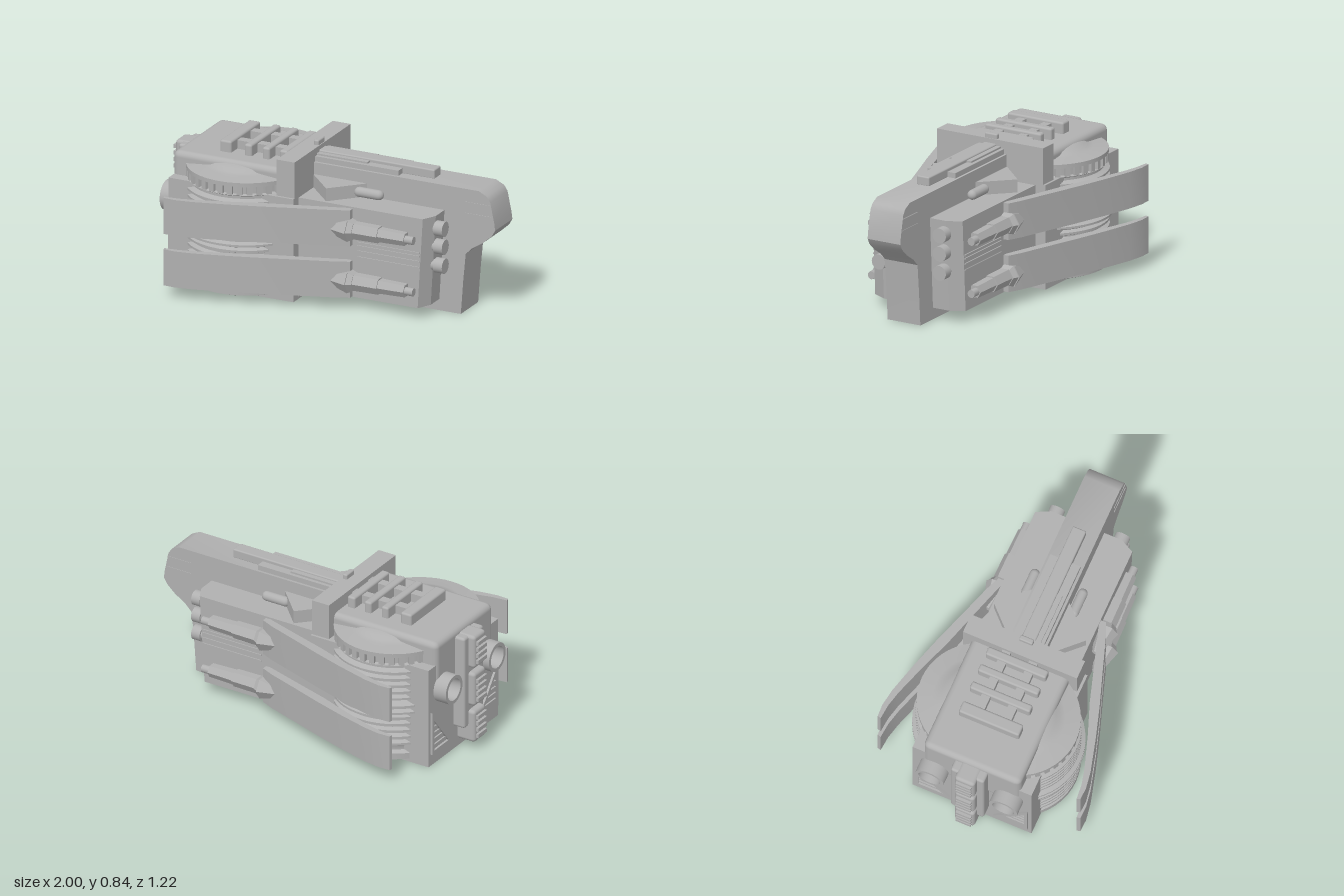
import * as THREE from 'three';
import { RoundedBoxGeometry } from 'three/addons/geometries/RoundedBoxGeometry.js';
import { toCreasedNormals } from 'three/addons/utils/BufferGeometryUtils.js';

export function createModel() {
  const root = new THREE.Group();
  root.name = 'spacecraft';
  const hull = new THREE.MeshStandardMaterial({ color: 0xb0b0b0 });
  hull.name = 'hull grey';

  const add = (name, geo) => {
    const m = new THREE.Mesh(geo, hull);
    m.name = name;
    root.add(m);
    return m;
  };
  // box from its limits, optionally rounded
  const box = (name, x0, x1, y0, y1, z0, z1, r = 0) => {
    const d = [x1 - x0, y1 - y0, Math.abs(z1 - z0)];
    const m = add(name, r ? new RoundedBoxGeometry(...d, 2, r) : new THREE.BoxGeometry(...d));
    m.position.set((x0 + x1) / 2, (y0 + y1) / 2, (z0 + z1) / 2);
    return m;
  };
  const shapeOf = pts => new THREE.Shape(pts.map(p => new THREE.Vector2(...p)));
  // side profile (x, y) extruded across z
  const profile = (name, pts, z0, z1) => {
    const g = new THREE.ExtrudeGeometry(shapeOf(pts), { depth: z1 - z0, bevelEnabled: false });
    return add(name, toCreasedNormals(g.translate(0, 0, z0), 0.6));
  };
  // plan (x, z) extruded up y
  const planGeo = (pts, y0, y1) => {
    const g = new THREE.ExtrudeGeometry(shapeOf(pts), { depth: y1 - y0, bevelEnabled: false });
    return g.rotateX(Math.PI / 2).translate(0, y1, 0);
  };
  // cylinder lying along x, r0 at the rear and r1 at the front
  const rod = (name, x0, x1, r0, r1, y, z, sides = 24) => {
    const g = new THREE.CylinderGeometry(r0, r1, x1 - x0, sides).rotateZ(Math.PI / 2);
    const m = add(name, sides < 8 ? toCreasedNormals(g, 0.3) : g);
    m.position.set((x0 + x1) / 2, y, z);
    return m;
  };

  // central spine with hooked nose
  profile('spine', [[-0.86, 0], [0.79, 0], [0.805, 0.2], [0.82, 0.355], [0.86, 0.395], [0.93, 0.44],
    [0.98, 0.485], [1, 0.52], [0.995, 0.56], [0.97, 0.68], [0.95, 0.71], [0.9, 0.735], [-0.2, 0.735]], -0.105, 0.105);
  for (const s of [-1, 1]) for (const y of [0.59, 0.655])
    box('noseSeam', 0.82, 0.975, y, y + 0.006, s * 0.105, s * 0.108);

  // spine top rails
  box('topRail', -0.12, 0.595, 0.73, 0.785, -0.04, 0.04, 0.008);
  box('topRailBase', -0.12, 0.4, 0.73, 0.765, -0.09, 0.09);
  box('topRailStep', -0.12, 0.2, 0.73, 0.775, -0.07, 0.07);

  // rear body
  box('rearBody', -0.875, -0.11, 0, 0.6, -0.355, 0.355);
  box('rearBodyTop', -0.885, -0.11, 0.4, 0.735, -0.29, 0.29, 0.035);
  profile('underRamp', [[-0.13, 0], [-0.12, 0], [-0.06, 0.068], [-0.13, 0.068]], -0.29, 0.29);
  box('crossBar', -0.22, -0.11, 0.58, 0.81, -0.34, 0.34);
  box('crossBarKnob', -0.145, -0.115, 0.8, 0.838, -0.04, 0.04, 0.008);

  // roof grille
  for (const [a, b] of [[-0.65, -0.58], [-0.5, -0.455], [-0.39, -0.345], [-0.285, -0.235]])
    box('roofRib', a, b, 0.72, 0.8, -0.18, 0.18, 0.012);
  for (const z of [-0.08, 0.08]) box('roofRibLink', -0.6, -0.2, 0.72, 0.785, z - 0.025, z + 0.025);

  // stern plate with stacked vents
  box('sternPlate', -0.945, -0.86, 0.14, 0.7, -0.1, 0.1, 0.015);
  for (const [a, b] of [[0.045, 0.24], [0.27, 0.475], [0.505, 0.705]]) {
    box('sternVent', -0.985, -0.86, a, b, -0.06, 0.06, 0.02);
    for (let i = 0; i < 4; i++)
      box('ventRib', -1, -0.97, a + 0.03 + i * 0.038, a + 0.052 + i * 0.038, -0.045, 0.045);
  }

  // ribbed drum, used on both sides
  const drumPts = [[0, 0.01], [0.31, 0.01], [0.335, 0.02], [0.335, 0.055], [0.31, 0.068], [0.31, 0.09]];
  for (let y = 0.1; y < 0.56; y += 0.04) {
    const r = y > 0.27 && y < 0.36 ? 0.36 : 0.34;
    drumPts.push([r - 0.025, y], [r, y + 0.01], [r, y + 0.022], [r - 0.025, y + 0.032]);
  }
  drumPts.push([0.31, 0.575], [0.31, 0.59], [0.33, 0.6], [0.31, 0.605], [0.31, 0.648], [0.335, 0.652],
    [0.335, 0.675], [0.25, 0.685], [0.22, 0.69], [0.2, 0.705], [0.15, 0.72], [0, 0.722]);
  const drumGeo = toCreasedNormals(
    new THREE.LatheGeometry(drumPts.map(p => new THREE.Vector2(...p)), 48), 0.5);

  for (const s of [-1, 1]) {
    // drum and its toothed upper ring
    add('sideDrum', drumGeo).position.set(-0.51, 0, s * 0.125);
    for (let i = -6; i <= 6; i++) {
      const a = i * 0.17;
      const t = add('drumTooth', new THREE.BoxGeometry(0.03, 0.05, 0.025));
      t.position.set(-0.51 + Math.sin(a) * 0.318, 0.627, s * (0.125 + Math.cos(a) * 0.318));
      t.rotation.y = s * a;
    }

    // forward side block with raked front face
    const g = planGeo([[-0.15, 0.1], [0.69, 0.1], [0.69, 0.21], [0.65, 0.29], [-0.15, 0.29]]
      .map(([x, z]) => [x, s * z]), 0.066, 0.59);
    const p = g.attributes.position;
    for (let i = 0; i < p.count; i++)
      if (p.getX(i) > 0.5) p.setX(i, p.getX(i) - (0.59 - p.getY(i)) * 0.06);
    g.computeVertexNormals();
    add('sideBlock', g);
    for (const y of [0.3, 0.335, 0.365, 0.385])
      box('sideSeam', 0.25, 0.63, y, y + 0.008, s * 0.288, s * 0.296);
    for (const y of [0.3, 0.41, 0.515]) {
      rod('frontPort', 0.62, 0.7, 0.032, 0.032, y, s * 0.195);
      rod('frontPortCap', 0.685, 0.74, 0.043, 0.043, y, s * 0.195);
    }

    // wedge turret on the block, with its gun
    add('turretWedge', planGeo([[-0.12, s * 0.1], [0.22, s * 0.1], [0.05, s * 0.275]], 0.58, 0.665));
    const gun = add('turretGun', new THREE.CapsuleGeometry(0.028, 0.12, 6, 16).rotateZ(Math.PI / 2));
    gun.position.set(0.247, 0.625, s * 0.143);

    // swept arms and side cannons
    const outer = [[-0.78, 0.605], [-0.71, 0.608], [-0.61, 0.592], [-0.42, 0.54], [-0.24, 0.484], [-0.03, 0.412], [0.14, 0.355], [0.22, 0.32]];
    const inner = [[0.22, 0.28], [0.16, 0.3], [-0.03, 0.36], [-0.24, 0.425], [-0.42, 0.492], [-0.61, 0.555], [-0.7, 0.577], [-0.785, 0.585]];
    const armPlan = [...outer, ...inner].map(([x, z]) => [x, s * z]);
    for (const y of [0.07, 0.37]) {
      add('sweptArm', toCreasedNormals(planGeo(armPlan, y, y + 0.21), 0.6));
      const c = y + 0.097;
      rod('cannonWedge', 0.07, 0.22, 0.022, 0.068, c, s * 0.325, 6);
      rod('cannonShoulder', 0.22, 0.25, 0.068, 0.052, c, s * 0.318, 6);
      rod('cannonBody', 0.24, 0.4, 0.052, 0.05, c, s * 0.313, 6);
      rod('cannonBarrel', 0.4, 0.56, 0.043, 0.039, c, s * 0.313, 6);
      rod('cannonTip', 0.56, 0.61, 0.023, 0.023, c, s * 0.32, 12);
    }

    // hollow thruster
    const tube = [[0.06, 0], [0.085, 0], [0.085, 0.085], [0.065, 0.085], [0.06, 0.015], [0, 0.015]];
    const t = add('thruster', toCreasedNormals(
      new THREE.LatheGeometry(tube.map(q => new THREE.Vector2(...q)), 32).rotateZ(Math.PI / 2), 0.5));
    t.position.set(-0.87, 0.445, s * 0.22);

    // triangular stern grille: frame and bars
    const frame = shapeOf([[0.13, 0.07], [0.335, 0.07], [0.335, 0.33]].map(([z, y]) => [-s * z, y]));
    frame.holes.push(new THREE.Path([[0.17, 0.09], [0.315, 0.09], [0.315, 0.275]]
      .map(([z, y]) => new THREE.Vector2(-s * z, y))));
    const f = add('sternGrille', new THREE.ExtrudeGeometry(frame, { depth: 0.015, bevelEnabled: false })
      .rotateY(Math.PI / 2));
    f.position.x = -0.888;
    for (let i = 0; i < 4; i++) {
      const y = 0.11 + i * 0.037;
      box('sternGrilleBar', -0.884, -0.87, y, y + 0.014, s * (0.185 + i * 0.029), s * 0.32);
    }
  }
  return root;
}
